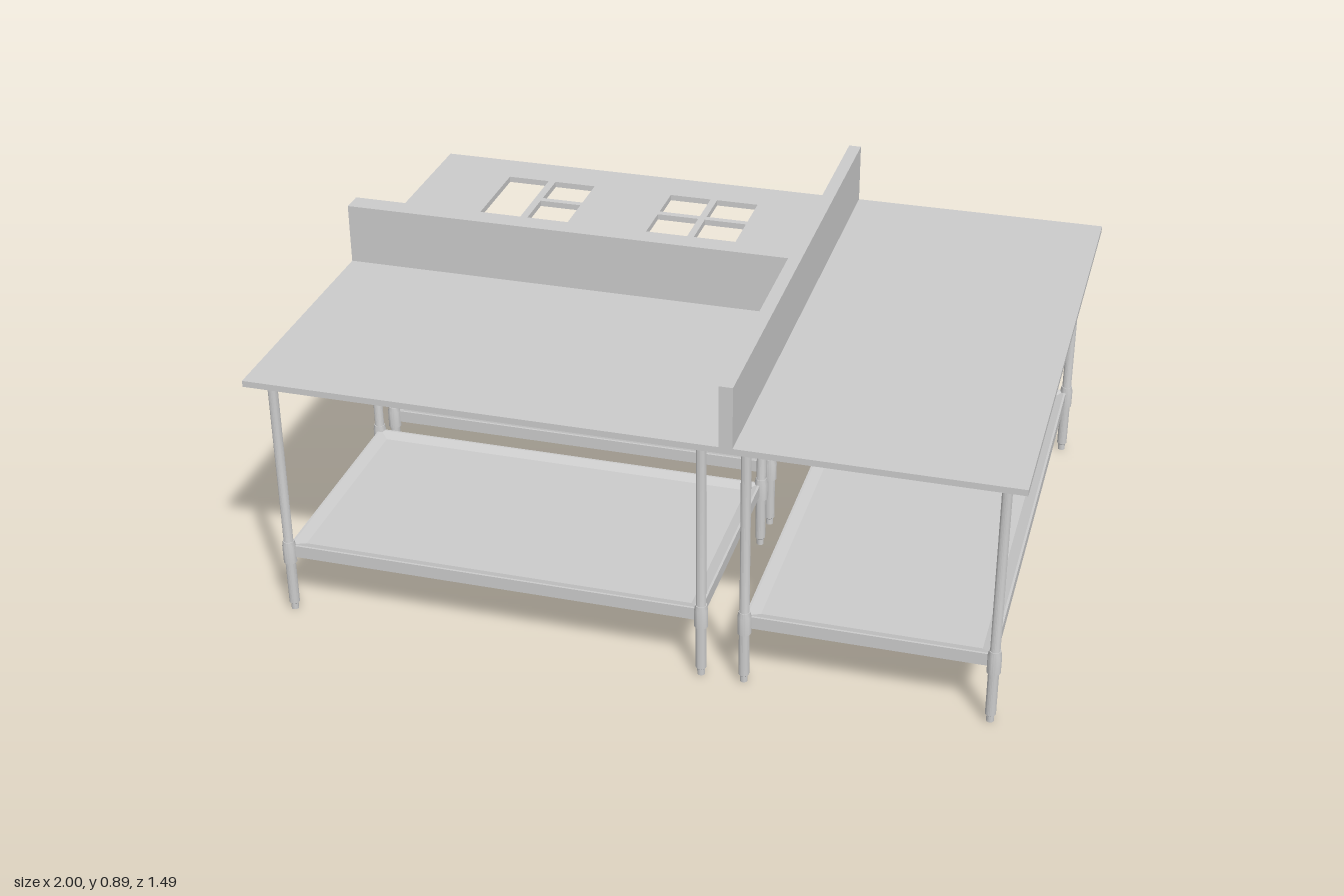
import * as THREE from 'three';
import { toCreasedNormals } from 'three/addons/utils/BufferGeometryUtils.js';

const metal = new THREE.MeshStandardMaterial({ color: 0xcccccc });
const TOP = 0.722, UNDER = 0.705, WALL_TOP = 0.89, DEPTH = 0.747;

function add(parent, name, geometry) {
  const mesh = new THREE.Mesh(geometry, metal);
  mesh.name = name;
  parent.add(mesh);
  return mesh;
}

// Box given by its limits on each axis
function block(x0, x1, y0, y1, z0, z1) {
  return new THREE.BoxGeometry(x1 - x0, y1 - y0, z1 - z0)
    .translate((x0 + x1) / 2, (y0 + y1) / 2, (z0 + z1) / 2);
}

function tracePath(path, [x0, x1, z0, z1]) {
  path.moveTo(x0, -z0);
  path.lineTo(x0, -z1);
  path.lineTo(x1, -z1);
  path.lineTo(x1, -z0);
  path.closePath();
  return path;
}

// Flat worktop with optional rectangular cut-outs
function worktop(rect, holes = []) {
  const shape = tracePath(new THREE.Shape(), rect);
  shape.holes = holes.map((h) => tracePath(new THREE.Path(), h));
  return new THREE.ExtrudeGeometry(shape, { depth: TOP - UNDER, bevelEnabled: false })
    .rotateX(-Math.PI / 2).translate(0, UNDER, 0);
}

// Shallow tray: flat underside, upright sides, floor dipping gently inside the rim
function tray([x0, x1, z0, z1]) {
  const rings = [[0, 0.165], [0, 0.2], [0.006, 0.2], [0.035, 0.19]];
  const positions = [], index = [];
  for (const [inset, y] of rings) {
    positions.push(x0 + inset, y, z1 - inset, x1 - inset, y, z1 - inset,
      x1 - inset, y, z0 + inset, x0 + inset, y, z0 + inset);
  }
  for (let r = 0; r < rings.length - 1; r++) {
    for (let i = 0; i < 4; i++) {
      const a = r * 4 + i, b = r * 4 + (i + 1) % 4;
      index.push(a, b, b + 4, a, b + 4, a + 4);
    }
  }
  const f = (rings.length - 1) * 4;
  index.push(f, f + 1, f + 2, f, f + 2, f + 3, 0, 2, 1, 0, 3, 2);
  const geometry = new THREE.BufferGeometry();
  geometry.setAttribute('position', new THREE.Float32BufferAttribute(positions, 3));
  geometry.setIndex(index);
  return toCreasedNormals(geometry, 0.2);
}

// Turned leg: foot, tube, shelf collar and top socket
const legProfile = [
  [0, 0], [0.01, 0], [0.01, 0.018], [0.014, 0.022], [0.014, 0.15], [0.018, 0.15],
  [0.018, 0.2], [0.015, 0.215], [0.013, 0.215], [0.013, 0.682], [0.018, 0.682],
  [0.018, 0.692], [0.021, 0.692], [0.021, UNDER], [0, UNDER],
].map(([r, y]) => new THREE.Vector2(r, y));
const legGeometry = toCreasedNormals(new THREE.LatheGeometry(legProfile, 20), 0.5);

// Table with a leg at each corner of its shelf
function table(name, top, shelf, holes) {
  const group = new THREE.Group();
  group.name = name;
  add(group, 'worktop', worktop(top, holes));
  add(group, 'shelf', tray(shelf));
  const [x0, x1, z0, z1] = shelf;
  for (const x of [x0, x1]) {
    for (const z of [z0, z1]) add(group, 'leg', legGeometry).position.set(x, 0, z);
  }
  return group;
}

export function createModel() {
  const model = new THREE.Group();
  model.name = 'workTables';

  // Cut-outs: one tall and two square openings, then a group of four squares
  const rows = [[-0.63, -0.51], [-0.49, -0.365]];
  const holes = [[-0.765, -0.642, -0.63, -0.365]];
  for (const [x0, x1] of [[-0.62, -0.497], [-0.26, -0.138], [-0.118, 0.005]]) {
    for (const [z0, z1] of rows) holes.push([x0, x1, z0, z1]);
  }

  model.add(
    table('frontTable', [-1, 0.25, 0, DEPTH], [-0.945, 0.192, 0.055, 0.692]),
    table('backTable', [-1, 0.25, -DEPTH, 0], [-0.945, 0.192, -0.692, -0.055], holes),
    table('sideTable', [0.25, 1, -DEPTH, DEPTH], [0.306, 0.945, -0.692, 0.692]),
  );

  // Upright splash walls between the tables
  add(model, 'longSplashWall', block(0.25, 0.285, TOP, WALL_TOP, -DEPTH, DEPTH));
  add(model, 'crossSplashWall', block(-1, 0.25, TOP, WALL_TOP, -0.03, 0.03));
  return model;
}
